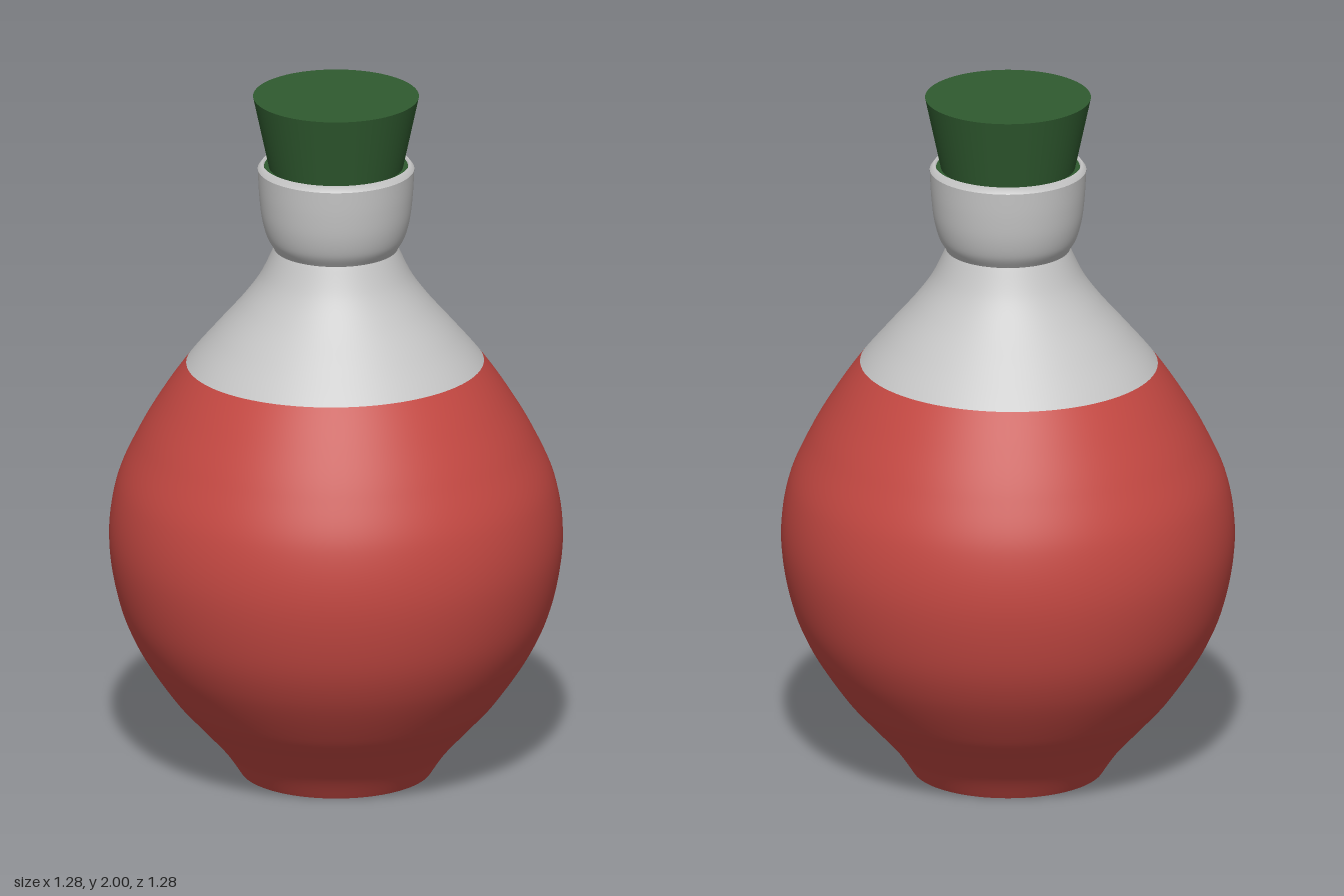
import * as THREE from 'three';

const SEG = 96;

function material(name, color) {
  const m = new THREE.MeshStandardMaterial({ color });
  m.name = name;
  return m;
}

// Smooth lathe points through a few [radius, height] pairs
function smooth(pairs, n) {
  const curve = new THREE.SplineCurve(pairs.map(([r, y]) => new THREE.Vector2(r, y)));
  return curve.getPoints(n);
}

function lathe(name, points, mat) {
  const mesh = new THREE.Mesh(new THREE.LatheGeometry(points, SEG), mat);
  mesh.name = name;
  return mesh;
}

export function createModel() {
  const red = material('red liquid', 0xc44842);
  const grey = material('grey glass', 0xc6c6c6);
  const green = material('green stopper', 0x2f5a2f);
  red.side = grey.side = THREE.DoubleSide;

  const group = new THREE.Group();
  group.name = 'potionBottle';

  // One continuous body curve, split at the liquid line
  const body = smooth([
    [0.27, 0], [0.318, 0.07], [0.39, 0.15], [0.465, 0.235], [0.56, 0.38],
    [0.615, 0.52], [0.64, 0.69], [0.62, 0.85], [0.56, 0.99], [0.49, 1.11],
    [0.42, 1.21], [0.345, 1.3], [0.268, 1.39], [0.215, 1.465], [0.175, 1.55],
  ], 140);
  const split = 100;
  const seamY = body[split].y;
  const lower = lathe('liquidBody', body.slice(0, split + 1), red);
  const upper = lathe('glassShoulder', body.slice(split), grey);

  // Tilt the liquid line very slightly along the surface
  for (const { geometry } of [lower, upper]) {
    const p = geometry.attributes.position;
    for (let i = 0; i < p.count; i++) {
      if (Math.abs(p.getY(i) - seamY) > 1e-5) continue;
      const x = p.getX(i), z = p.getZ(i);
      const dy = 0.012 * x;
      const k = 1 - dy * 0.75 / Math.hypot(x, z);
      p.setXYZ(i, x * k, seamY + dy, z * k);
    }
  }
  group.add(lower, upper);

  // Flat underside
  const base = new THREE.Mesh(new THREE.CircleGeometry(0.27, SEG), red);
  base.name = 'base';
  base.rotation.x = Math.PI / 2;
  group.add(base);

  // Flared neck collar and its lip
  const collar = smooth([
    [0.172, 1.55], [0.194, 1.585], [0.209, 1.64], [0.217, 1.71], [0.221, 1.785],
  ], 24);
  group.add(lathe('neckCollar', collar, grey));
  group.add(lathe('neckLip', [
    new THREE.Vector2(0.221, 1.785), new THREE.Vector2(0.208, 1.802),
    new THREE.Vector2(0.2, 1.785),
  ], grey));

  // Tapered stopper and the flat ring it sits on
  const stopper = new THREE.Mesh(new THREE.CylinderGeometry(0.234, 0.187, 0.22, SEG), green);
  stopper.name = 'stopper';
  stopper.position.y = 1.89;
  const seat = new THREE.Mesh(new THREE.CylinderGeometry(0.203, 0.203, 0.008, SEG), green);
  seat.name = 'stopperSeat';
  seat.position.y = 1.788;
  group.add(stopper, seat);

  return group;
}
